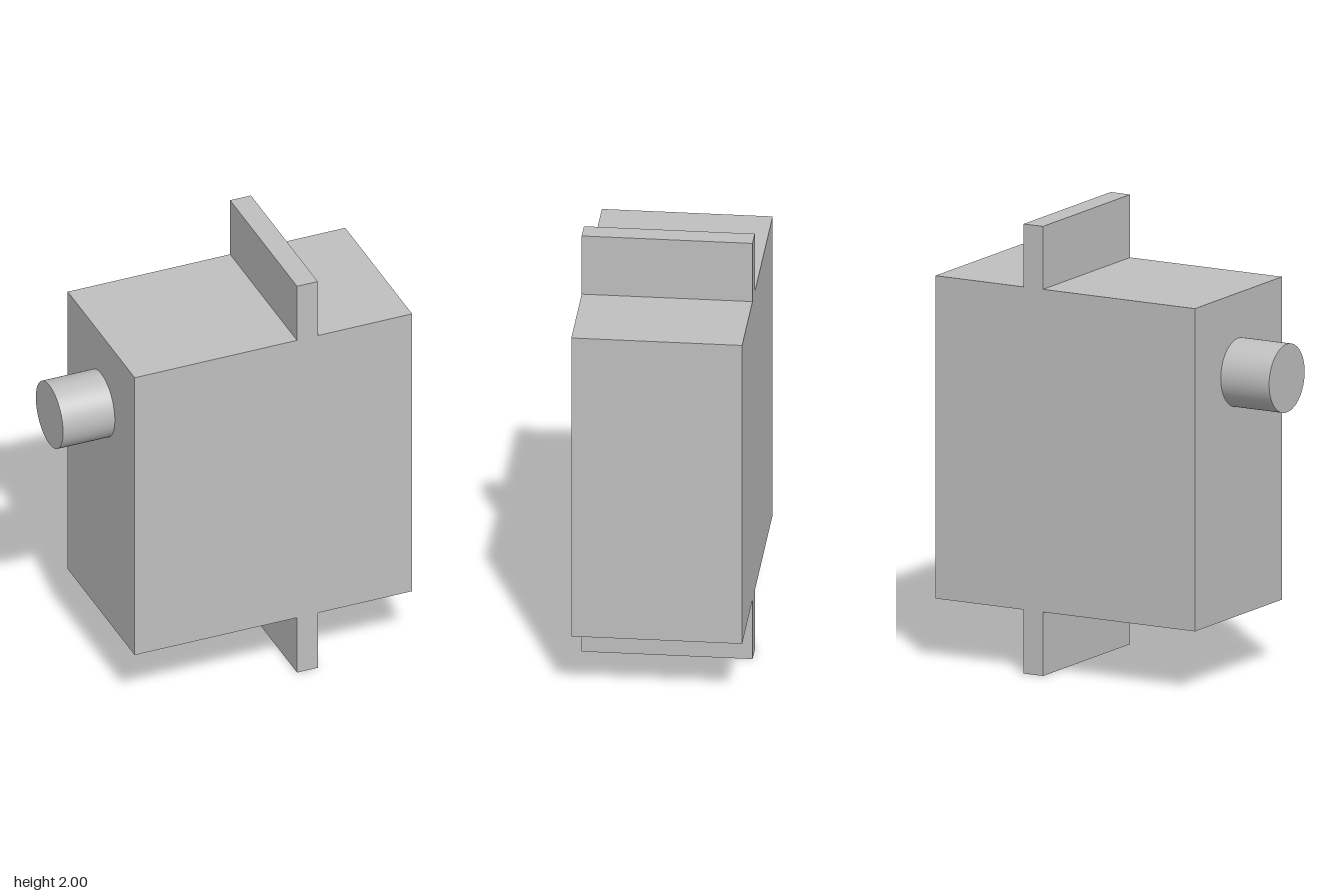
import * as THREE from 'three';

export function createModel() {
  const group = new THREE.Group();
  group.name = 'servoMotor';
  const grey = new THREE.MeshStandardMaterial({ color: 0xbfbfbf });
  grey.name = 'plain grey';

  // Case with a mounting tab above and below, as one cross-shaped profile
  const depth = 0.746;
  const left = -0.534, right = 0.775, bottom = 0.284, top = 1.72;
  const tabLeft = 0.232, tabRight = 0.33;
  const profile = new THREE.Shape([
    [left, bottom], [tabLeft, bottom], [tabLeft, 0], [tabRight, 0],
    [tabRight, bottom], [right, bottom], [right, top], [tabRight, top],
    [tabRight, 2], [tabLeft, 2], [tabLeft, top], [left, top],
  ].map(([x, y]) => new THREE.Vector2(x, y)));
  const caseGeometry = new THREE.ExtrudeGeometry(profile, { depth, bevelEnabled: false });
  caseGeometry.translate(0, 0, -depth / 2);
  const body = new THREE.Mesh(caseGeometry, grey);
  body.name = 'caseWithMountingTabs';
  group.add(body);

  // Output shaft on the side of the case
  const shaftEnd = -0.778;
  const shaftGeometry = new THREE.CylinderGeometry(0.152, 0.152, left - shaftEnd, 64);
  shaftGeometry.rotateZ(Math.PI / 2);
  const shaft = new THREE.Mesh(shaftGeometry, grey);
  shaft.name = 'outputShaft';
  shaft.position.set((left + shaftEnd) / 2, 1.367, 0);
  group.add(shaft);

  return group;
}
